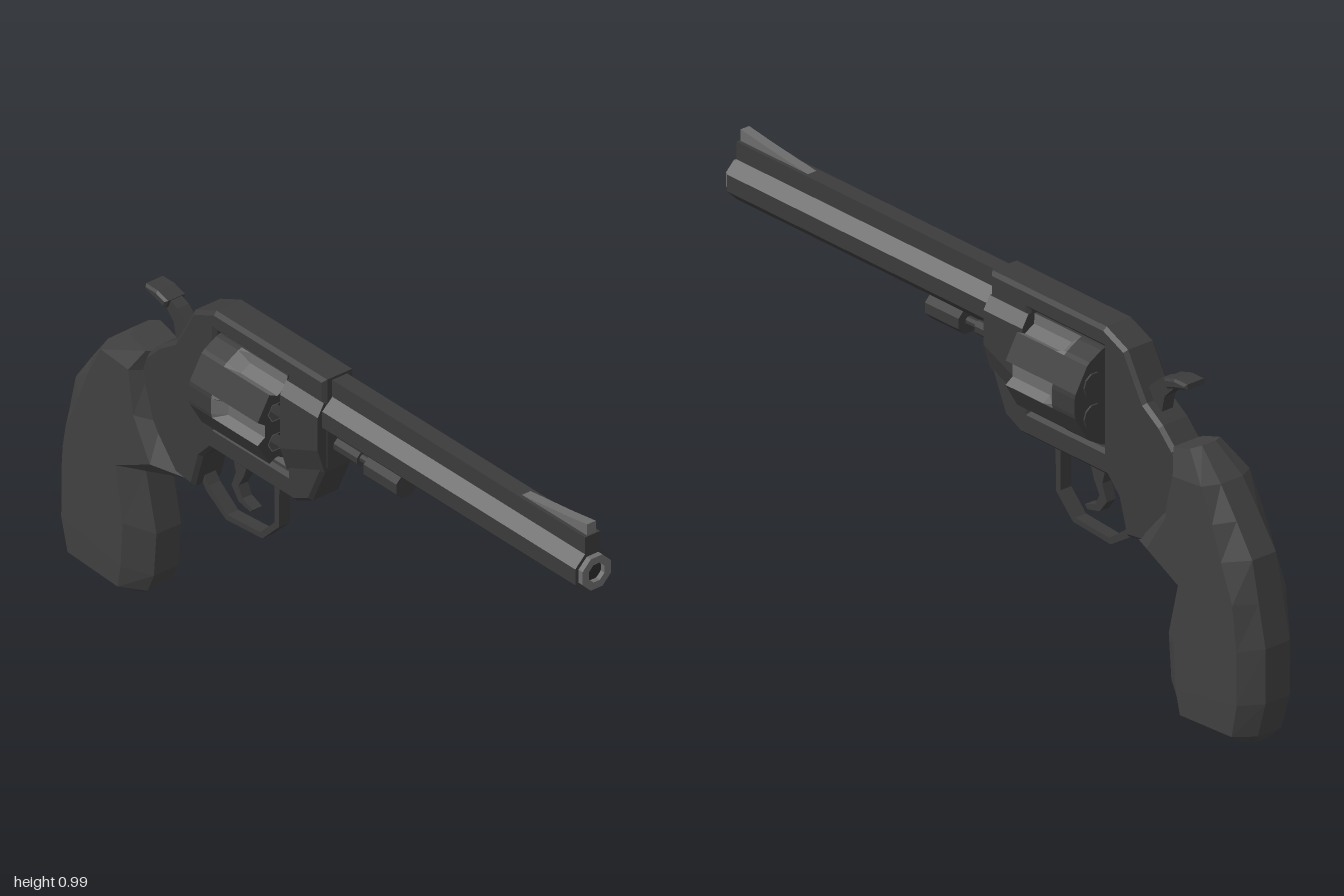
import * as THREE from 'three';

const mat = (name, color, side = THREE.FrontSide) => {
  const m = new THREE.MeshStandardMaterial({ color, side, flatShading: true });
  m.name = name;
  return m;
};

export function createModel() {
  const steel = mat('darkSteel', 0x3b3b3b);
  const polished = mat('polishedSteel', 0x6c6c6c);
  const gripMat = mat('gripBlack', 0x404040);
  const bore = mat('boreBlack', 0x2a2a2a, THREE.DoubleSide);

  const model = new THREE.Group();
  model.name = 'revolver';
  const add = (name, geometry, material, x = 0, y = 0, z = 0) => {
    const mesh = new THREE.Mesh(geometry, material);
    mesh.name = name;
    mesh.position.set(x, y, z);
    model.add(mesh);
    return mesh;
  };

  // Side profile in (z, y), extruded across x and centred
  const plate = (points, width, bevel = 0, hole = null) => {
    const shape = new THREE.Shape(points.map(p => new THREE.Vector2(...p)));
    if (hole) shape.holes.push(new THREE.Path(hole.map(p => new THREE.Vector2(...p))));
    const g = new THREE.ExtrudeGeometry(shape, {
      depth: width - 2 * bevel, bevelEnabled: bevel > 0, bevelSize: bevel,
      bevelThickness: bevel, bevelOffset: -bevel, bevelSegments: 1,
    });
    g.translate(0, 0, bevel - width / 2);
    return g.rotateY(-Math.PI / 2);
  };

  // Skin over matching rings of [x, y, z]; pick(i, j) gives a material index for each quad
  const loft = (rings, caps = [true, true], pick = () => 0) => {
    const buckets = [[], []];
    const n = rings[0].length;
    const centre = r => [0, 1, 2].map(k => r.reduce((s, p) => s + p[k], 0) / n);
    for (let i = 0; i < rings.length - 1; i++) {
      for (let j = 0; j < n; j++) {
        const a = rings[i][j], b = rings[i][(j + 1) % n];
        const c = rings[i + 1][(j + 1) % n], d = rings[i + 1][j];
        buckets[pick(i, j)].push([a, b, c], [a, c, d]);
      }
    }
    [rings[0], rings[rings.length - 1]].forEach((r, e) => {
      if (!caps[e]) return;
      const m = centre(r);
      for (let j = 0; j < n; j++) {
        const a = r[j], b = r[(j + 1) % n];
        buckets[0].push(e ? [a, b, m] : [b, a, m]);
      }
    });
    // Turn all faces outward
    const mid = new THREE.Vector3(...centre(rings.map(centre).flatMap(c => Array(n / rings.length | 0 || 1).fill(c)).slice(0, n)));
    const tris = buckets.flat();
    const v = p => new THREE.Vector3(...p).sub(mid);
    const volume = tris.reduce((s, t) => s + v(t[0]).dot(v(t[1]).cross(v(t[2]))), 0);
    if (volume < 0) tris.forEach(t => t.reverse());
    const g = new THREE.BufferGeometry();
    g.setAttribute('position', new THREE.Float32BufferAttribute(tris.flat(2), 3));
    g.addGroup(0, buckets[0].length * 3, 0);
    g.addGroup(buckets[0].length * 3, buckets[1].length * 3, 1);
    g.computeVertexNormals();
    return g;
  };

  const rod = (r, length, sides) =>
    new THREE.CylinderGeometry(r, r, length, sides).rotateY(Math.PI / sides).rotateX(Math.PI / 2);

  // Barrel: octagon with polished upper slopes
  const octagon = (r, y, z) => Array.from({ length: 8 }, (_, k) => {
    const a = (k + 0.5) * Math.PI / 4;
    return [r * Math.cos(a), y + r * Math.sin(a), z];
  });
  add('barrel', loft([octagon(0.06, 0.855, 0), octagon(0.06, 0.855, 0.984)], [true, true],
    (i, j) => (j === 0 || j === 2 ? 1 : 0)), [steel, polished]);
  add('barrelRib', new THREE.BoxGeometry(0.048, 0.06, 0.984), steel, 0, 0.928, 0.492);

  // Muzzle crown with bore
  const crown = new THREE.Shape(octagon(0.049, 0, 0).map(p => new THREE.Vector2(p[0], p[1])));
  crown.holes.push(new THREE.Path(octagon(0.027, 0, 0).map(p => new THREE.Vector2(p[0], p[1]))));
  add('muzzleCrown', new THREE.ExtrudeGeometry(crown, { depth: 0.02, bevelEnabled: false }), polished, 0, 0.855, 0.98);
  add('bore', new THREE.CircleGeometry(0.028, 8), bore, 0, 0.855, 0.986);

  add('frontSight', plate([[0.98, 0.95], [0.98, 0.99], [0.89, 0.977], [0.73, 0.958], [0.73, 0.95]], 0.028), polished);

  // Frame with cylinder window
  add('frame', plate([
    [0.015, 0.71], [-0.04, 0.59], [-0.1, 0.562], [-0.42, 0.562], [-0.46, 0.52], [-0.49, 0.42],
    [-0.64, 0.44], [-0.72, 0.6], [-0.67, 0.72], [-0.62, 0.77], [-0.56, 0.81],
    [-0.53, 0.86], [-0.49, 0.93], [-0.41, 0.965], [0.015, 0.965],
  ], 0.1, 0.01, [[-0.13, 0.63], [-0.13, 0.91], [-0.405, 0.91], [-0.405, 0.63]]), steel);

  // Wide front of the frame around the barrel root
  const boss = (z, low) => {
    const half = [[0.048, low], [0.07, low + 0.07], [0.07, 0.865], [0.05, 0.9]];
    return [...half, ...half.slice().reverse().map(([x, y]) => [-x, y])].map(([x, y]) => [x, y, z]);
  };
  add('frameFront', loft([boss(0.014, 0.7), boss(-0.13, 0.64)], [true, true],
    (i, j) => (j === 2 || j === 4 ? 1 : 0)), [steel, polished]);

  // Fluted cylinder: six flutes that run out into a plain rear band
  const R = 0.138;
  const drumRing = (z, flute) => Array.from({ length: 24 }, (_, k) => {
    const a = (Math.floor(k / 4) * 60 + [-14, -9, 9, 14][k % 4]) * Math.PI / 180;
    const r = k % 4 === 1 || k % 4 === 2 ? flute : R;
    return [r * Math.cos(a), r * Math.sin(a), z];
  });
  const drumY = 0.77;
  add('cylinder', loft(
    [drumRing(-0.14, 0.112), drumRing(-0.28, 0.112), drumRing(-0.315, R), drumRing(-0.4, R)],
    [false, true], (i, j) => (i < 2 && j % 4 !== 3 ? 1 : 0)), [steel, polished], 0, drumY, 0);
  const face = new THREE.Shape(drumRing(0, 0.112).map(p => new THREE.Vector2(p[0], p[1])));
  for (let k = 0; k < 6; k++) {
    const a = (k * 60 + 30) * Math.PI / 180;
    const cx = 0.086 * Math.cos(a), cy = 0.086 * Math.sin(a);
    const hole = new THREE.Path();
    for (let s = 0; s < 6; s++) {
      const b = s * Math.PI / 3;
      const x = cx + 0.026 * Math.cos(b), y = cy + 0.026 * Math.sin(b);
      if (s) hole.lineTo(x, y); else hole.moveTo(x, y);
    }
    hole.closePath();
    face.holes.push(hole);
    // Chamber wall, rim and floor, and the cartridge base behind
    const wall = new THREE.CylinderGeometry(0.026, 0.026, 0.12, 6, 1, true).rotateY(Math.PI / 6).rotateX(Math.PI / 2);
    add('chamber', wall, bore, cx, drumY + cy, -0.2);
    add('chamberFloor', new THREE.CircleGeometry(0.026, 6), bore, cx, drumY + cy, -0.2);
    add('chamberRim', new THREE.RingGeometry(0.025, 0.028, 6), polished, cx, drumY + cy, -0.139);
    add('cartridgeBase', rod(0.034, 0.006, 10), steel, cx, drumY + cy, -0.402);
  }
  add('cylinderFace', new THREE.ShapeGeometry(face), steel, 0, drumY, -0.14);
  add('cylinderPin', rod(0.025, 0.29, 8), steel, 0, drumY, -0.268);

  // Ejector rod under the barrel
  add('ejectorHead', rod(0.037, 0.125, 8), steel, 0, 0.766, 0.21);
  add('ejectorRod', rod(0.012, 0.2, 8), steel, 0, 0.766, 0.11);
  add('ejectorCollar', rod(0.021, 0.1, 8), steel, 0, 0.764, 0.055);

  // Trigger guard and trigger
  add('triggerGuard', plate([
    [-0.18, 0.57], [-0.195, 0.54], [-0.197, 0.43], [-0.26, 0.368], [-0.4, 0.357], [-0.475, 0.405], [-0.51, 0.45],
    [-0.5, 0.47], [-0.465, 0.425], [-0.395, 0.373], [-0.268, 0.382], [-0.213, 0.437], [-0.213, 0.54], [-0.23, 0.57],
  ], 0.036), steel);
  add('trigger', plate([
    [-0.31, 0.58], [-0.335, 0.51], [-0.355, 0.475], [-0.34, 0.445], [-0.3, 0.43],
    [-0.31, 0.42], [-0.355, 0.43], [-0.382, 0.465], [-0.365, 0.51], [-0.385, 0.58],
  ], 0.03), steel);

  // Hammer with a wider thumb spur
  add('hammer', plate([
    [-0.5, 0.78], [-0.545, 0.845], [-0.585, 0.88], [-0.63, 0.898], [-0.645, 0.88],
    [-0.6, 0.835], [-0.59, 0.79], [-0.63, 0.75], [-0.58, 0.72],
  ], 0.036), steel);
  add('hammerSpur', plate([
    [-0.61, 0.893], [-0.65, 0.905], [-0.695, 0.905], [-0.697, 0.89], [-0.65, 0.878], [-0.62, 0.868],
  ], 0.066, 0.006), steel);

  // Grip: chamfered sections from heel to top [front z, front y, back z, back y, half width]
  const sections = [
    [-0.715, 0, -0.945, 0.015, 0.045], [-0.675, 0.03, -0.97, 0.045, 0.086],
    [-0.65, 0.085, -1, 0.145, 0.088], [-0.64, 0.21, -1, 0.295, 0.088],
    [-0.68, 0.375, -0.975, 0.41, 0.088], [-0.525, 0.425, -0.95, 0.52, 0.086],
    [-0.625, 0.54, -0.89, 0.605, 0.083], [-0.668, 0.67, -0.83, 0.685, 0.08],
    [-0.65, 0.725, -0.745, 0.755, 0.05],
  ];
  const outline = [[0, 0.45], [0.2, 1], [0.85, 1], [1, 0.45], [1, -0.45], [0.85, -1], [0.2, -1], [0, -0.45]];
  add('grip', loft(sections.map(([fz, fy, bz, by, w]) =>
    outline.map(([t, s]) => [s * w, fy + (by - fy) * t, fz + (bz - fz) * t]))), gripMat);

  return model;
}
